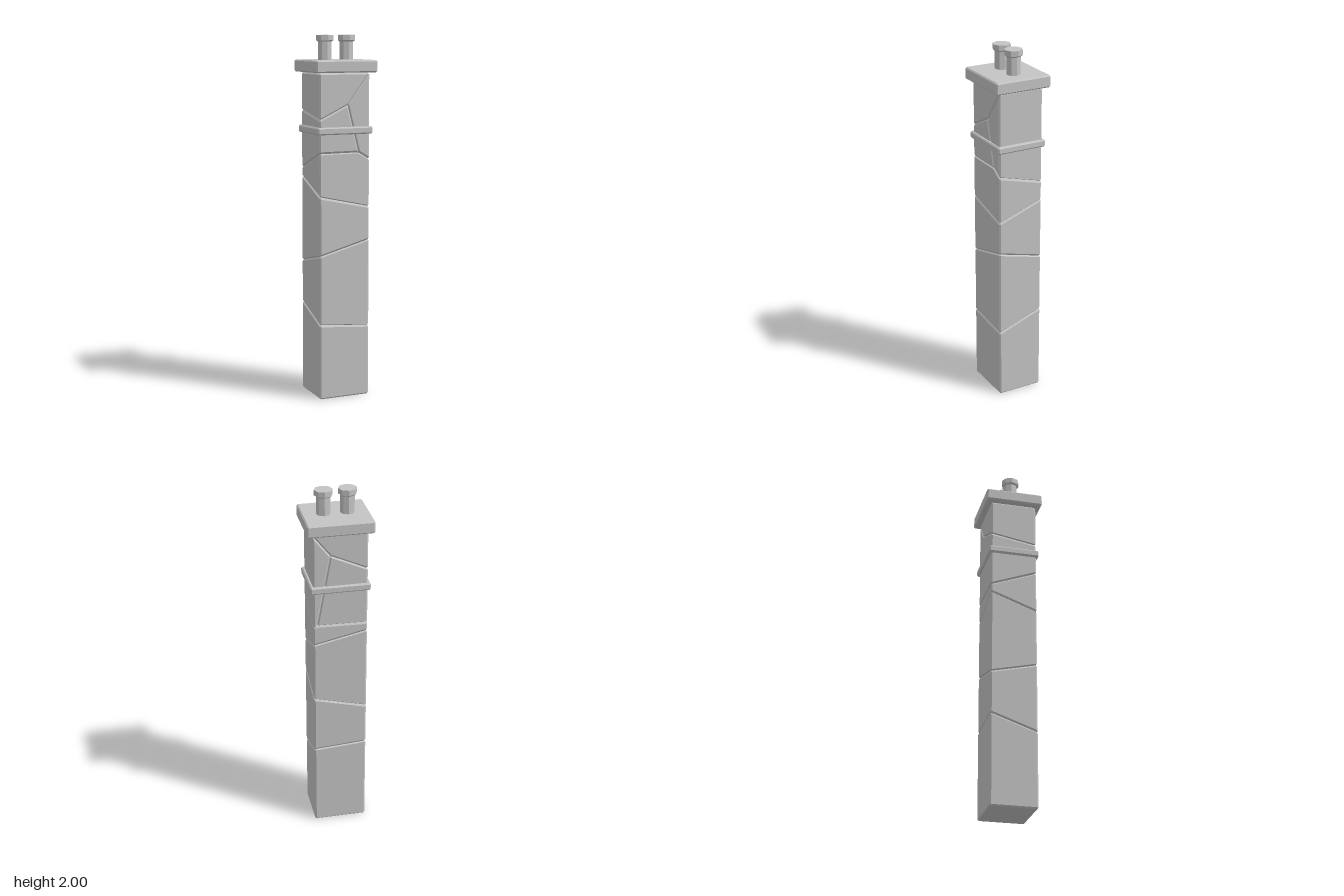
import * as THREE from 'three';

const stone = new THREE.MeshStandardMaterial({ color: 0xc4c4c4 });
stone.name = 'grey stone';

// Prism between a front and a back outline (counter-clockwise from the front), every edge chamfered by b
function bevelledPrism(front, back, zFront, zBack, b) {
  const n = front.length;
  const verts = [
    ...front.map(([x, y]) => new THREE.Vector3(x, y, zFront)),
    ...back.map(([x, y]) => new THREE.Vector3(x, y, zBack)),
  ];
  const ids = [...Array(n).keys()];
  const faces = [ids, ids.map((i) => n + i).reverse()];
  for (const i of ids) {
    const j = (i + 1) % n;
    faces.push([i, n + i, n + j, j]);
  }
  // Inset each face's corners and note which face owns each directed edge
  const owner = {};
  const inset = faces.map((loop, f) => {
    const points = {};
    loop.forEach((v, k) => {
      const next = loop[(k + 1) % loop.length];
      const prev = loop[(k + loop.length - 1) % loop.length];
      owner[v + '>' + next] = f;
      const d1 = verts[next].clone().sub(verts[v]).normalize();
      const d2 = verts[prev].clone().sub(verts[v]).normalize();
      const sine = Math.max(d1.clone().cross(d2).length(), 0.02);
      points[v] = verts[v].clone().addScaledVector(d1.add(d2), b / sine);
    });
    return points;
  });
  const pos = [];
  const polygon = (pts) => {
    for (let k = 1; k < pts.length - 1; k++) {
      for (const p of [pts[0], pts[k], pts[k + 1]]) pos.push(p.x, p.y, p.z);
    }
  };
  const across = (f, v) => {
    const loop = faces[f];
    return owner[loop[(loop.indexOf(v) + 1) % loop.length] + '>' + v];
  };
  faces.forEach((loop, f) => {
    polygon(loop.map((v) => inset[f][v]));
    loop.forEach((v, k) => {
      const w = loop[(k + 1) % loop.length];
      const g = owner[w + '>' + v];
      if (v < w) polygon([inset[f][w], inset[f][v], inset[g][v], inset[g][w]]);
    });
  });
  verts.forEach((_, v) => {
    const f = faces.findIndex((loop) => loop.includes(v));
    const g = across(f, v);
    const h = across(g, v);
    polygon([inset[h][v], inset[g][v], inset[f][v]]);
  });
  const geo = new THREE.BufferGeometry();
  geo.setAttribute('position', new THREE.Float32BufferAttribute(pos, 3));
  geo.computeVertexNormals();
  return geo;
}

export function createModel() {
  const model = new THREE.Group();
  model.name = 'chimney';
  const add = (name, geo) => {
    const mesh = new THREE.Mesh(geo, stone);
    mesh.name = name;
    model.add(mesh);
    return mesh;
  };

  const L = -0.15, R = 0.145, Z = 0.13, TOP = 1.797;
  const block = (name, front, back) => add(name, bevelledPrism(front, back, Z, -Z, 0.008));

  // Lower shaft stones, split by slanting joints: heights at frontLeft, frontRight, backRight, backLeft
  const joints = [
    [0, 0, 0, 0],
    [0.42, 0.395, 0.49, 0.51],
    [0.805, 0.885, 0.82, 0.745],
    [1.13, 1.065, 1.16, 1.225],
  ];
  for (let i = 0; i < 3; i++) {
    const a = joints[i], c = joints[i + 1];
    block('shaftStone' + (i + 1),
      [[L, a[0]], [R, a[1]], [R, c[1]], [L, c[0]]],
      [[L, a[3]], [R, a[2]], [R, c[2]], [L, c[3]]]);
  }

  // Stone with a broken top edge
  const kinkF = [0.08, 1.37], kinkB = [0.125, 1.275];
  const t = joints[3];
  block('shaftStone4',
    [[L, t[0]], [R, t[1]], [R, 1.33], kinkF, [L, 1.368]],
    [[L, t[3]], [R, t[2]], [R, 1.263], kinkB, [L, 1.27]]);

  // Three upper stones meeting at a forked joint
  const nodeF = [0.015, 1.625], nodeB = [0.052, 1.68];
  block('upperLowStone',
    [[L, 1.368], kinkF, nodeF, [L, 1.545]],
    [[L, 1.27], kinkB, nodeB, [L, 1.59]]);
  block('upperTopStone',
    [[L, 1.545], nodeF, [R, TOP], [L, TOP]],
    [[L, 1.59], nodeB, [R, TOP], [L, TOP]]);
  block('upperSideStone',
    [kinkF, [R, 1.33], [R, TOP], nodeF],
    [kinkB, [R, 1.263], [R, TOP], nodeB]);

  // Band and cap slab
  const slab = (name, x0, x1, y0, y1, z0, z1) => {
    const outline = [[x0, y0], [x1, y0], [x1, y1], [x0, y1]];
    add(name, bevelledPrism(outline, outline, z1, z0, 0.007));
  };
  slab('band', -0.164, 0.16, 1.468, 1.508, -0.143, 0.143);
  slab('capSlab', -0.18, 0.178, 1.8, 1.866, -0.161, 0.161);

  // Eight-sided chimney pots with flared rims
  const profile = [[0.039, 1.86], [0.039, 1.963], [0.05, 1.971], [0.05, 2], [0, 2]]
    .map(([r, y]) => new THREE.Vector2(r, y));
  const potGeo = new THREE.LatheGeometry(profile, 8).toNonIndexed();
  potGeo.computeVertexNormals();
  for (const [name, x] of [['rightPot', -0.065], ['leftPot', 0.063]]) {
    add(name, potGeo).position.x = x;
  }
  return model;
}
